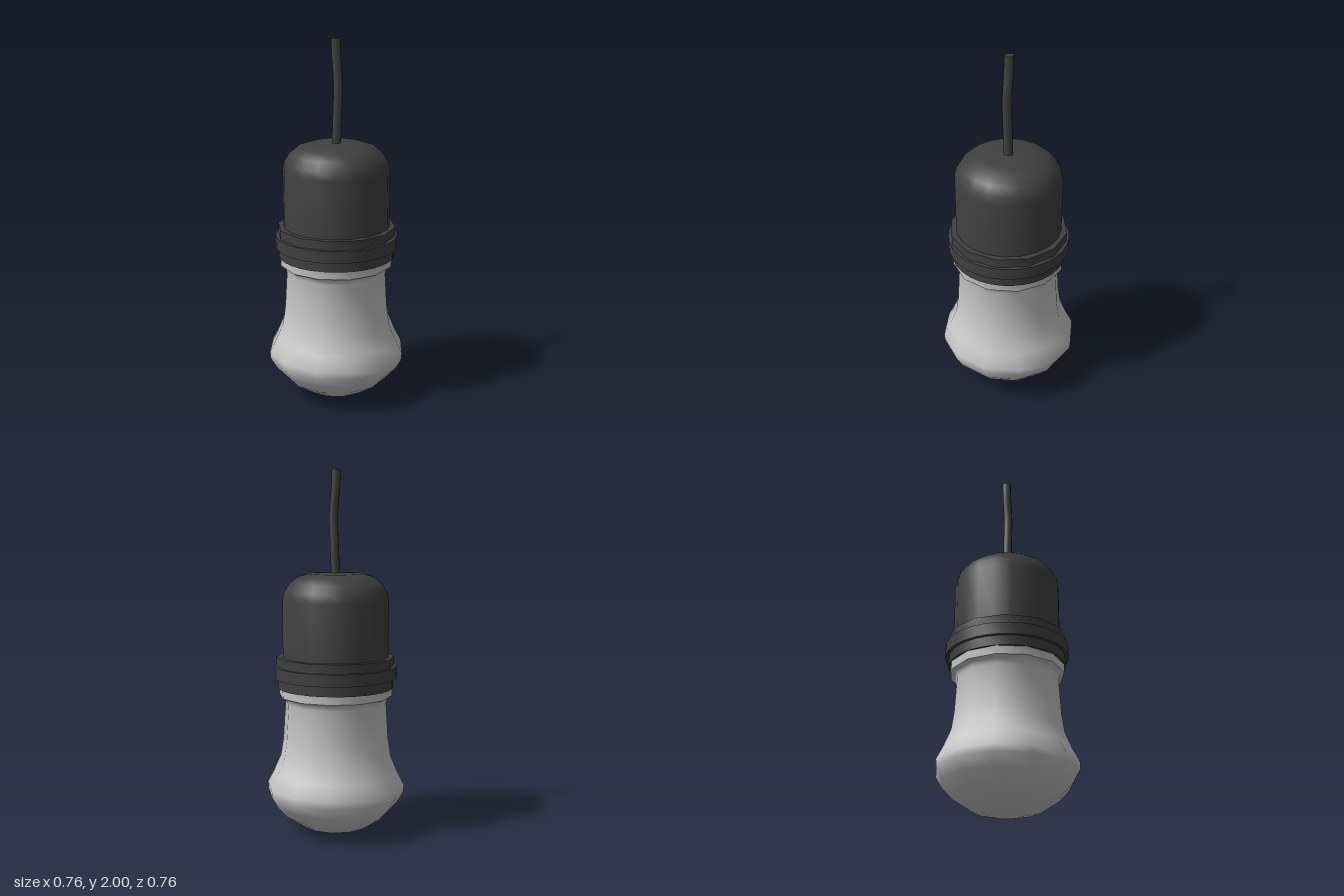
import * as THREE from 'three';
import { toCreasedNormals } from 'three/addons/utils/BufferGeometryUtils.js';

export function createModel() {
  const model = new THREE.Group();
  model.name = 'pendantLamp';
  const plastic = new THREE.MeshStandardMaterial({ color: 0x404040 });
  plastic.name = 'darkPlastic';
  const glass = new THREE.MeshStandardMaterial({ color: 0xc8c8c8 });
  glass.name = 'frostedGlass';

  const add = (name, geometry, material) => {
    const mesh = new THREE.Mesh(geometry, material);
    mesh.name = name;
    model.add(mesh);
  };
  // Turned part from a bottom-to-top profile of [radius, height]
  const turn = (name, profile, sides, material, start = 0) => {
    const points = profile.map(([r, y]) => new THREE.Vector2(r, y));
    const lathe = new THREE.LatheGeometry(points, sides, start, Math.PI * 2);
    add(name, toCreasedNormals(lathe, 0.75), material);
  };

  // Flared glass bulb with a rounded base and a collar
  turn('bulb', [
    [0, 0.005], [0.09, 0.01], [0.185, 0.035], [0.29, 0.105], [0.345, 0.165], [0.38, 0.225],
    [0.383, 0.265], [0.345, 0.34], [0.307, 0.43], [0.292, 0.53], [0.28, 0.73],
    [0.288, 0.755], [0.312, 0.77], [0.315, 0.82], [0, 0.82],
  ], 12, glass, THREE.MathUtils.degToRad(21));

  // Stacked rings clamping the bulb
  for (const [name, radius, bottom, top, sides] of [
    ['lowerRing', 0.318, 0.815, 0.872, 32],
    ['middleRing', 0.336, 0.87, 0.936, 32],
    ['upperRing', 0.325, 0.934, 0.986, 12],
  ]) {
    turn(name, [[0, bottom], [radius, bottom], [radius, top], [0, top]], sides, plastic);
  }

  // Domed socket
  turn('socket', [
    [0.292, 0.98], [0.292, 1.3], [0.281, 1.345], [0.253, 1.39],
    [0.21, 1.423], [0.15, 1.441], [0, 1.446],
  ], 20, plastic);

  // Gently bowed cord with a capped top
  const path = new THREE.CatmullRomCurve3([
    [1.43, 0], [1.55, 0.005], [1.77, 0.012], [1.9, 0], [2, -0.004],
  ].map(([y, z]) => new THREE.Vector3(0, y, z)));
  add('cord', new THREE.TubeGeometry(path, 10, 0.025, 8), plastic);
  const cap = new THREE.CircleGeometry(0.025, 8);
  cap.rotateX(-Math.PI / 2);
  cap.translate(0, 2, -0.004);
  add('cordEnd', cap, plastic);

  return model;
}
